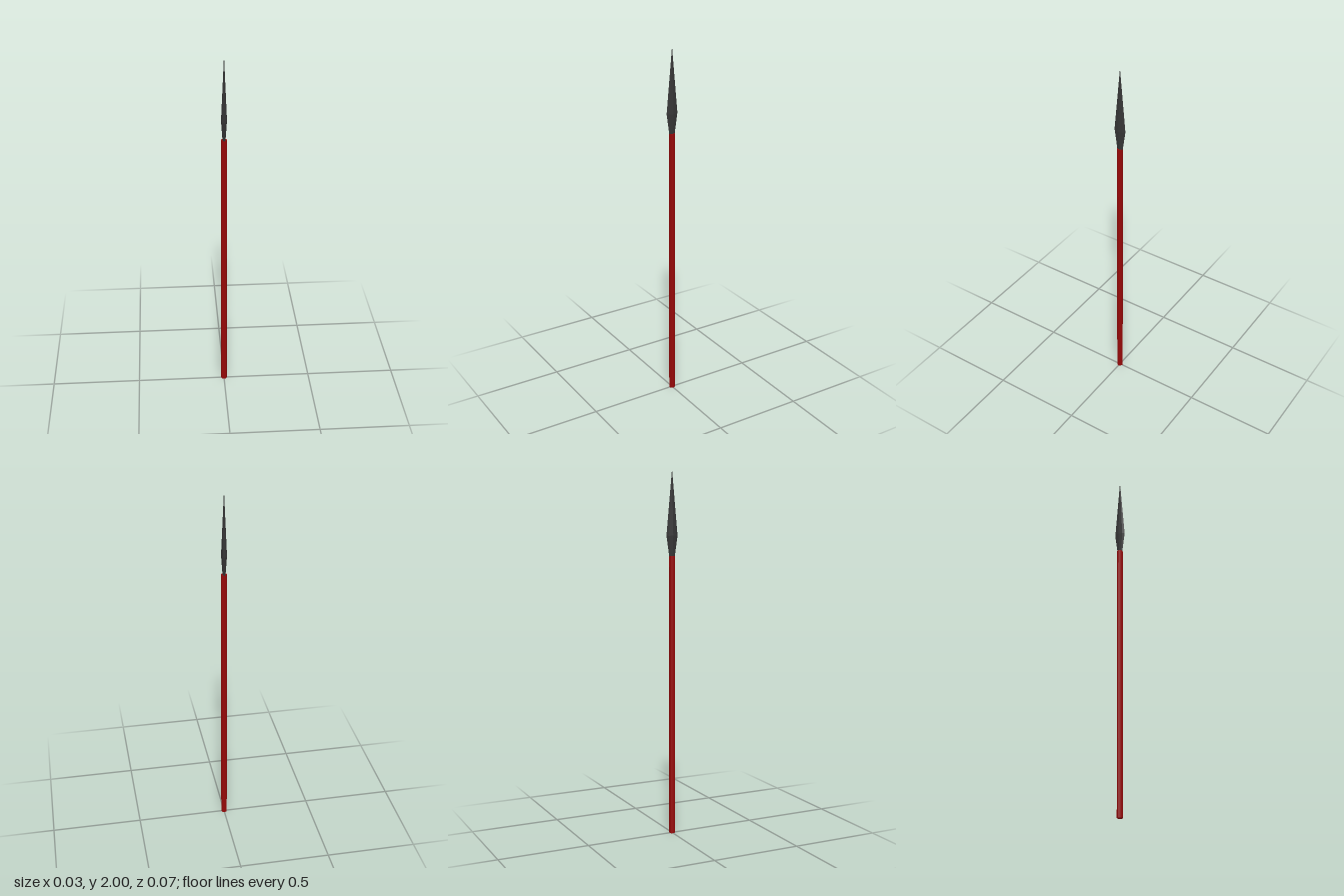
import * as THREE from 'three';

const SIDES = 8;

function part(name, geometry, color) {
  const material = new THREE.MeshStandardMaterial({ color, flatShading: true });
  const mesh = new THREE.Mesh(geometry, material);
  mesh.name = name;
  return mesh;
}

export function createModel() {
  const spear = new THREE.Group();
  spear.name = 'spear';

  // Straight eight-sided shaft
  const shaftHeight = 1.54;
  const shaftGeometry = new THREE.CylinderGeometry(0.0165, 0.0165, shaftHeight, SIDES);
  shaftGeometry.translate(0, shaftHeight / 2, 0);
  spear.add(part('shaft', shaftGeometry, 0x960808));

  // Leaf-shaped head: unit-radius faceted profile, flattened across x
  const profile = [[0, 1.525], [0.45, 1.525], [1, 1.648], [0, 2]]
    .map(([r, y]) => new THREE.Vector2(r, y));
  const headGeometry = new THREE.LatheGeometry(profile, SIDES);
  headGeometry.scale(0.0155, 1, 0.033);
  spear.add(part('spearHead', headGeometry, 0x363636));

  return spear;
}
